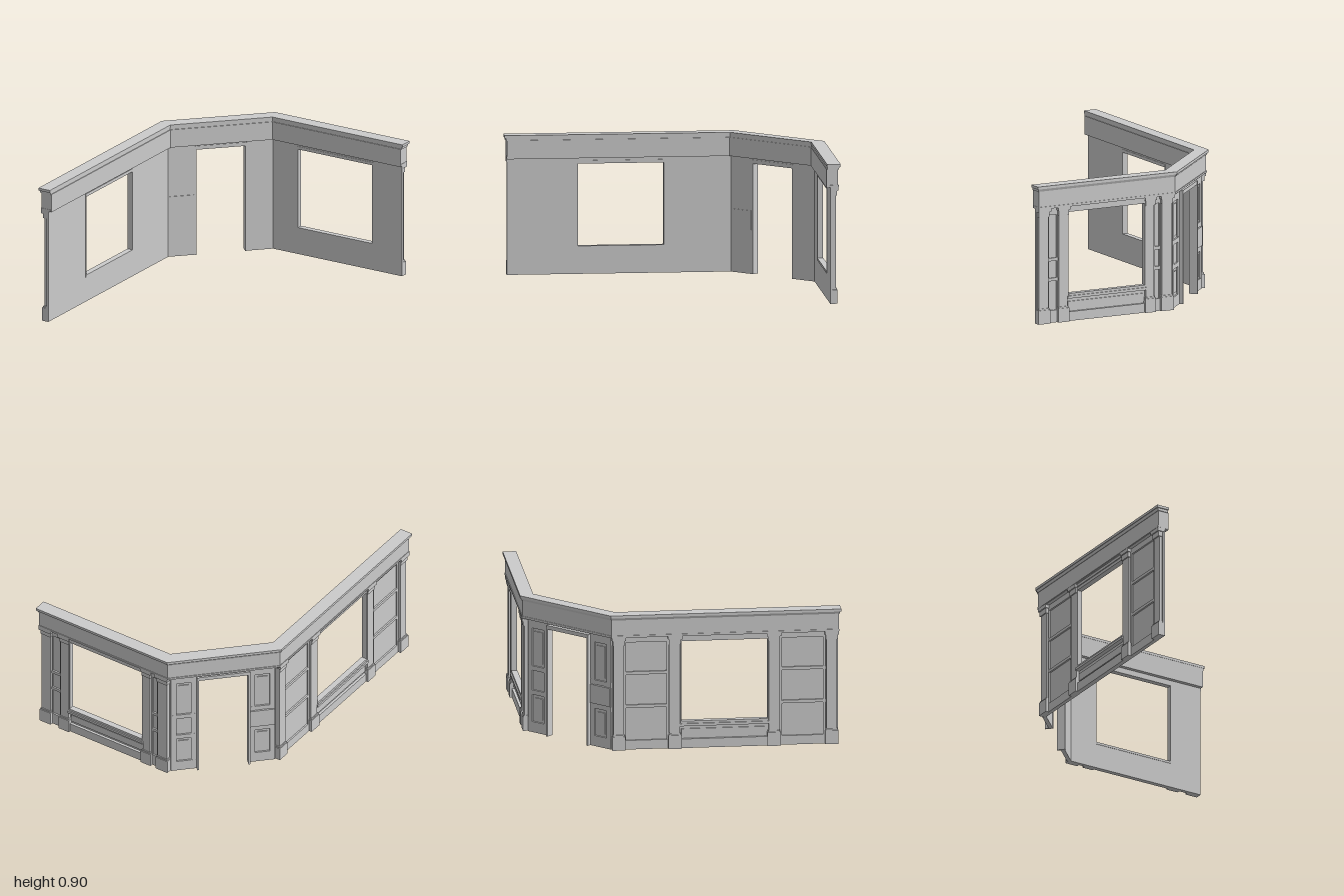
import * as THREE from 'three';

const mat = new THREE.MeshStandardMaterial({ color: 0xcccccc, flatShading: true });

// Inner wall line, from the back wall's free end round to the left wall's free end
const PATH = [[0.75, -0.935], [-0.22, -0.935], [-0.705, -0.45], [-0.705, 0.985]];
const CAP_TOP = 0.752;

// Box given by its extents: s along the wall, y up, o outwards
function slab(parent, name, s0, s1, y0, y1, o0, o1) {
  const m = new THREE.Mesh(new THREE.BoxGeometry(s1 - s0, y1 - y0, o1 - o0), mat);
  m.position.set((s0 + s1) / 2, (y0 + y1) / 2, (o0 + o1) / 2);
  m.name = name;
  parent.add(m);
  return m;
}

// Sweep a convex profile [outward, y] (counter-clockwise) along the path with mitred corners
function sweep(name, profile, overhang) {
  const dirs = PATH.slice(1).map((p, i) =>
    new THREE.Vector2(p[0] - PATH[i][0], p[1] - PATH[i][1]).normalize());
  const out = dirs.map(d => new THREE.Vector2(d.y, -d.x).multiplyScalar(-1));
  // outward is the side facing -x / -z
  out.forEach(n => { if (n.x + n.y > 0) n.multiplyScalar(-1); });
  const last = PATH.length - 1;
  const rings = PATH.map((p, i) => {
    const a = out[Math.max(i - 1, 0)], b = out[Math.min(i, last - 1)];
    const miter = a.clone().add(b).divideScalar(1 + a.dot(b));
    const shift = i === 0 ? -overhang : i === last ? overhang : 0;
    const d = dirs[Math.min(i, last - 1)];
    return profile.map(([o, y]) =>
      [p[0] + miter.x * o + d.x * shift, y, p[1] + miter.y * o + d.y * shift]);
  });
  const pos = [], n = profile.length;
  const tri = (a, b, c) => pos.push(...a, ...b, ...c);
  for (let i = 0; i < last; i++) {
    for (let j = 0; j < n; j++) {
      const k = (j + 1) % n;
      tri(rings[i][j], rings[i + 1][j], rings[i][k]);
      tri(rings[i][k], rings[i + 1][j], rings[i + 1][k]);
    }
  }
  for (let j = 1; j < n - 1; j++) {
    tri(rings[0][0], rings[0][j], rings[0][j + 1]);
    tri(rings[last][0], rings[last][j + 1], rings[last][j]);
  }
  const g = new THREE.BufferGeometry();
  g.setAttribute('position', new THREE.Float32BufferAttribute(pos, 3));
  g.computeVertexNormals();
  const m = new THREE.Mesh(g, mat);
  m.name = name;
  return m;
}
const band = (o0, o1, y0, y1) => [[o0, y0], [o1, y0], [o1, y1], [o0, y1]];

// Wall sheet with a rectangular opening
function wallSheet(parent, length, s0, s1, y0, y1) {
  const shape = new THREE.Shape();
  const rect = (p, a, b, c, d) => {
    p.moveTo(a, c); p.lineTo(b, c); p.lineTo(b, d); p.lineTo(a, d); p.closePath();
    return p;
  };
  if (y0 > 0) {
    rect(shape, 0, length, 0, 0.76);
    shape.holes.push(rect(new THREE.Path(), s0, s1, y0, y1));
  } else {
    [[0, 0], [s0, 0], [s0, y1], [s1, y1], [s1, 0], [length, 0], [length, 0.76], [0, 0.76]]
      .forEach(([x, y], i) => (i ? shape.lineTo(x, y) : shape.moveTo(x, y)));
  }
  const m = new THREE.Mesh(new THREE.ExtrudeGeometry(shape, { depth: 0.015, bevelEnabled: false }), mat);
  m.name = 'wallSheet';
  parent.add(m);
}

function pilaster(parent, s0, s1) {
  const g = new THREE.Group();
  g.name = 'pilaster';
  slab(g, 'plinth', s0, s1, 0, 0.09, 0.002, 0.046);
  slab(g, 'plinthMoulding', s0 + 0.004, s1 - 0.004, 0.09, 0.1, 0.002, 0.041);
  slab(g, 'shaft', s0 + 0.009, s1 - 0.009, 0.1, 0.7, 0.002, 0.036);
  slab(g, 'capitalNeck', s0 + 0.004, s1 - 0.004, 0.695, 0.73, 0.002, 0.044);
  slab(g, 'capital', s0 - 0.003, s1 + 0.003, 0.728, CAP_TOP, 0.002, 0.052);
  parent.add(g);
}

// Stiles and rails around sunken panels; rails are [bottom, top] heights
function panelling(parent, s0, s1, rails, stile) {
  const g = new THREE.Group();
  g.name = 'panelling';
  for (const [a, b] of rails) slab(g, 'rail', s0, s1, a, b, 0.005, 0.026);
  if (stile) {
    slab(g, 'stile', s0, s0 + stile, 0, 0.75, 0.005, 0.0255);
    slab(g, 'stile', s1 - stile, s1, 0, 0.75, 0.005, 0.0255);
  }
  parent.add(g);
}

function windowFrame(parent, s0, s1) {
  const g = new THREE.Group();
  g.name = 'windowFrame';
  slab(g, 'head', s0, s1, 0.71, 0.73, -0.003, 0.034);
  slab(g, 'headMoulding', s0 - 0.01, s1 + 0.01, 0.73, 0.75, 0.005, 0.04);
  slab(g, 'sill', s0, s1, 0.165, 0.18, -0.003, 0.036);
  slab(g, 'sillLedge', s0 - 0.01, s1 + 0.01, 0.148, 0.165, 0.005, 0.044);
  slab(g, 'apron', s0, s1, 0.075, 0.125, 0.005, 0.022);
  slab(g, 'skirting', s0, s1, 0, 0.06, 0.005, 0.032);
  for (const s of [s0 - 0.008, s1]) slab(g, 'jamb', s, s + 0.008, 0.165, 0.73, -0.002, 0.034);
  parent.add(g);
}

function wallGroup(name, start, angle) {
  const g = new THREE.Group();
  g.name = name;
  g.position.set(start[0], 0, start[1]);
  g.rotation.y = angle;
  return g;
}

export function createModel() {
  const root = new THREE.Group();
  root.name = 'cornerShopFront';

  // Back wall with window and paired pilasters
  const back = wallGroup('backWall', PATH[0], Math.PI);
  wallSheet(back, 0.97, 0.225, 0.78, 0.165, 0.73);
  windowFrame(back, 0.225, 0.78);
  for (const [a, b] of [[0, 0.085], [0.145, 0.225], [0.78, 0.855], [0.895, 0.985]]) pilaster(back, a, b);
  for (const [a, b] of [[0.08, 0.15], [0.85, 0.9]])
    panelling(back, a, b, [[0, 0.08], [0.27, 0.29], [0.4, 0.42], [0.7, 0.75]], 0.008);
  root.add(back);

  // Angled wall with doorway
  const L = 0.686, d0 = 0.177, d1 = 0.509;
  const door = wallGroup('doorWall', PATH[1], -0.75 * Math.PI);
  wallSheet(door, L, d0, d1, 0, 0.735);
  const frame = new THREE.Group();
  frame.name = 'doorFrame';
  slab(frame, 'doorJamb', d0 - 0.006, d0 + 0.006, 0, 0.735, -0.004, 0.05);
  slab(frame, 'doorJamb', d1 - 0.006, d1 + 0.006, 0, 0.735, -0.004, 0.05);
  slab(frame, 'doorHead', d0, d1, 0.712, 0.737, -0.004, 0.048);
  door.add(frame);
  for (const [a, b] of [[0.005, d0 - 0.006], [d1 + 0.006, L - 0.005]]) {
    panelling(door, a, b, [[0, 0.07], [0.25, 0.28], [0.41, 0.44], [0.69, 0.75]], 0.035);
    for (const [y0, y1] of [[0.09, 0.23], [0.46, 0.67]])
      slab(door, 'raisedPanel', a + 0.05, b - 0.05, y0, y1, 0.005, 0.021);
  }
  slab(door, 'boxPanel', d1 + 0.008, L - 0.008, 0.283, 0.407, -0.004, 0.034);
  root.add(door);

  // Left wall with window and wide stacked panels
  const left = wallGroup('leftWall', PATH[2], -Math.PI / 2);
  wallSheet(left, 1.435, 0.43, 0.98, 0.165, 0.73);
  windowFrame(left, 0.43, 0.98);
  for (const [a, b] of [[-0.015, 0.07], [0.345, 0.43], [0.98, 1.065], [1.35, 1.435]]) pilaster(left, a, b);
  for (const [a, b] of [[0.06, 0.35], [1.06, 1.355]])
    panelling(left, a, b, [[0, 0.06], [0.275, 0.295], [0.495, 0.515], [0.71, 0.75]], 0.016);
  root.add(left);

  // Entablature running round all three walls
  root.add(sweep('frieze', band(-0.025, 0.05, 0.748, 0.868), 0.002));
  root.add(sweep('friezeBead', band(-0.02, 0.054, 0.752, 0.764), 0.004));
  root.add(sweep('corniceMoulding', [[-0.02, 0.866], [0.053, 0.866], [0.061, 0.884], [-0.02, 0.884]], 0.008));
  root.add(sweep('cornice', band(-0.022, 0.065, 0.883, 0.9), 0.016));
  return root;
}
